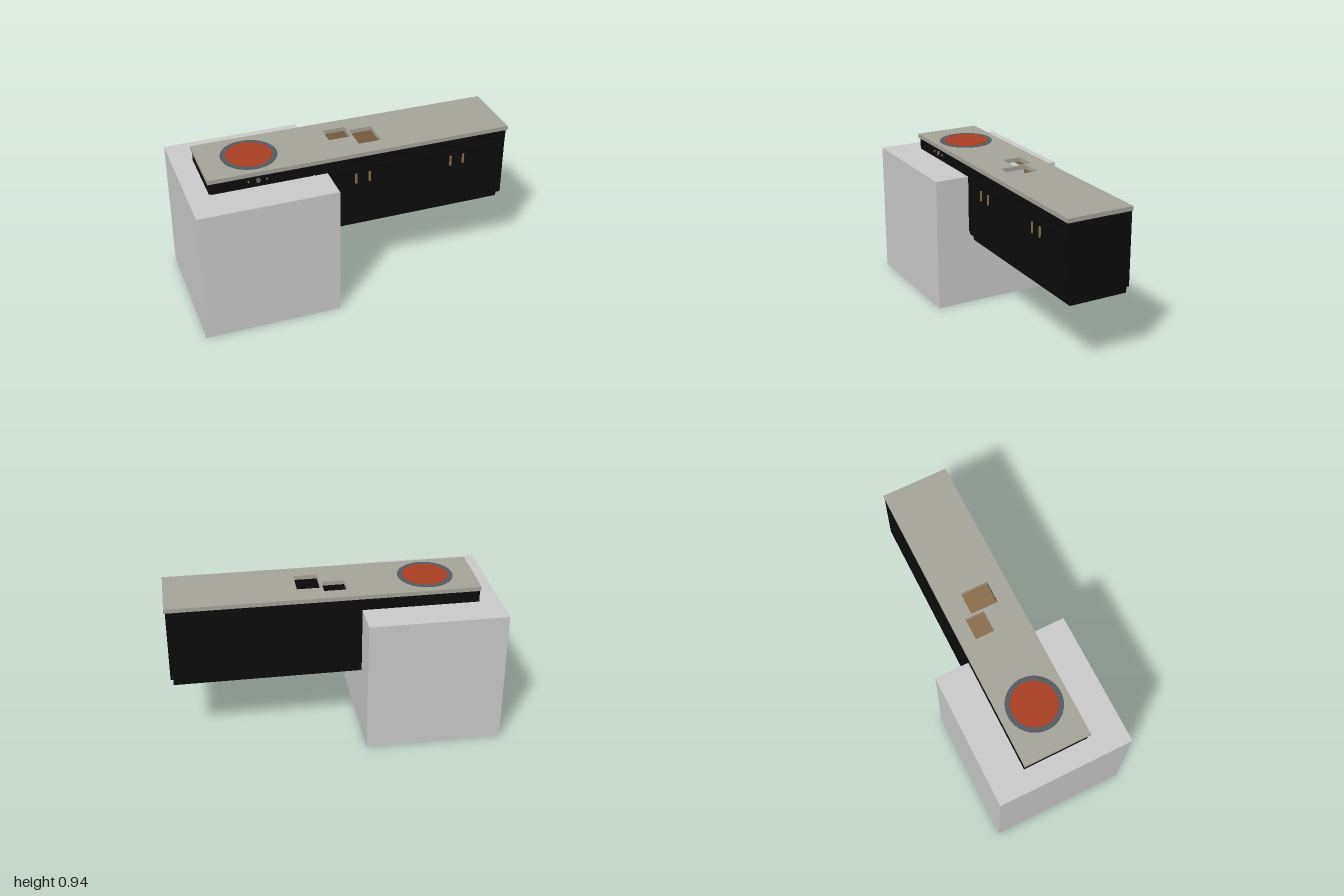
import * as THREE from 'three';

const mat = (name, color) => Object.assign(new THREE.MeshStandardMaterial({ color }), { name });

export function createModel() {
  const group = new THREE.Group();
  const black = mat('black cabinet', 0x0c0c0c);
  const stone = mat('stone worktop', 0xa5a49a);
  const grey = mat('light grey block', 0xcacaca);
  const steel = mat('dark steel', 0x56595f);
  const red = mat('hot red', 0xa83e22);
  const tan = mat('tan wood', 0x8a6d4c);

  const add = (name, geometry, material, x = 0, y = 0, z = 0) => {
    const mesh = new THREE.Mesh(geometry, material);
    mesh.name = name;
    mesh.position.set(x, y, z);
    group.add(mesh);
    return mesh;
  };
  // Box given by its lower and upper limits
  const box = (name, material, x0, x1, y0, y1, z0, z1) =>
    add(name, new THREE.BoxGeometry(x1 - x0, y1 - y0, z1 - z0), material,
      (x0 + x1) / 2, (y0 + y1) / 2, (z0 + z1) / 2);

  // Large block around the stove end
  box('block', grey, -1, -0.163, 0, 0.84, -0.42, 0.42);

  // Hollow cabinet on a recessed plinth
  box('plinth', black, -0.855, 0.975, 0.42, 0.462, -0.2, 0.17);
  box('cabinetFloor', black, -0.872, 0.99, 0.462, 0.475, -0.207, 0.195);
  box('cabinetBack', black, -0.872, 0.99, 0.475, 0.912, -0.207, -0.195);
  box('cabinetFront', black, -0.872, 0.99, 0.475, 0.912, 0.183, 0.195);
  box('cabinetRightSide', black, -0.872, -0.86, 0.475, 0.912, -0.195, 0.183);
  box('cabinetLeftSide', black, 0.978, 0.99, 0.475, 0.912, -0.195, 0.183);
  // Wooden lining seen through the sink openings
  box('floorLining', tan, -0.01, 0.978, 0.475, 0.479, -0.195, 0.183);
  box('backLining', tan, -0.86, 0.978, 0.479, 0.911, -0.195, -0.191);

  // Front panels: oven, four doors, top rail
  box('ovenPanel', black, -0.86, -0.25, 0.485, 0.842, 0.195, 0.202);
  for (const x of [-0.239, 0.061, 0.371, 0.671]) {
    box('door', black, x, x + 0.294, 0.485, 0.842, 0.195, 0.203);
  }
  box('topRail', black, -0.872, 0.99, 0.855, 0.9, 0.195, 0.198);
  for (const x of [0.014, 0.1, 0.625, 0.708]) {
    box('handle', tan, x - 0.006, x + 0.006, 0.735, 0.8, 0.203, 0.21);
  }

  // Stove controls
  for (const [x, r, m] of [[-0.64, 0.005, tan], [-0.582, 0.014, steel], [-0.53, 0.005, tan]]) {
    add('knob', new THREE.CylinderGeometry(r, r, 0.012, 20), m, x, 0.88, 0.202).rotation.x = Math.PI / 2;
  }
  box('knobPointer', tan, -0.585, -0.579, 0.869, 0.891, 0.207, 0.211);

  // Worktop with two sink openings (shape y becomes -z)
  const rect = (path, x0, x1, z0, z1) => path.moveTo(x0, -z0).lineTo(x0, -z1).lineTo(x1, -z1).lineTo(x1, -z0).closePath();
  const top = new THREE.Shape();
  rect(top, -0.88, 0.998, -0.209, 0.208);
  for (const hole of [[-0.085, 0.053, -0.118, 0.002], [0.068, 0.21, -0.072, 0.102]]) {
    const path = new THREE.Path();
    rect(path, ...hole);
    top.holes.push(path);
  }
  const topGeometry = new THREE.ExtrudeGeometry(top, { depth: 0.026, bevelEnabled: false });
  topGeometry.rotateX(-Math.PI / 2);
  add('worktop', topGeometry, stone, 0, 0.912, 0);

  // Round hotplate
  add('hotplateRim', new THREE.CylinderGeometry(0.168, 0.168, 0.003, 48), steel, -0.582, 0.9395, 0.004);
  add('hotplate', new THREE.CylinderGeometry(0.138, 0.138, 0.003, 48), red, -0.582, 0.9405, 0.004);

  return group;
}
